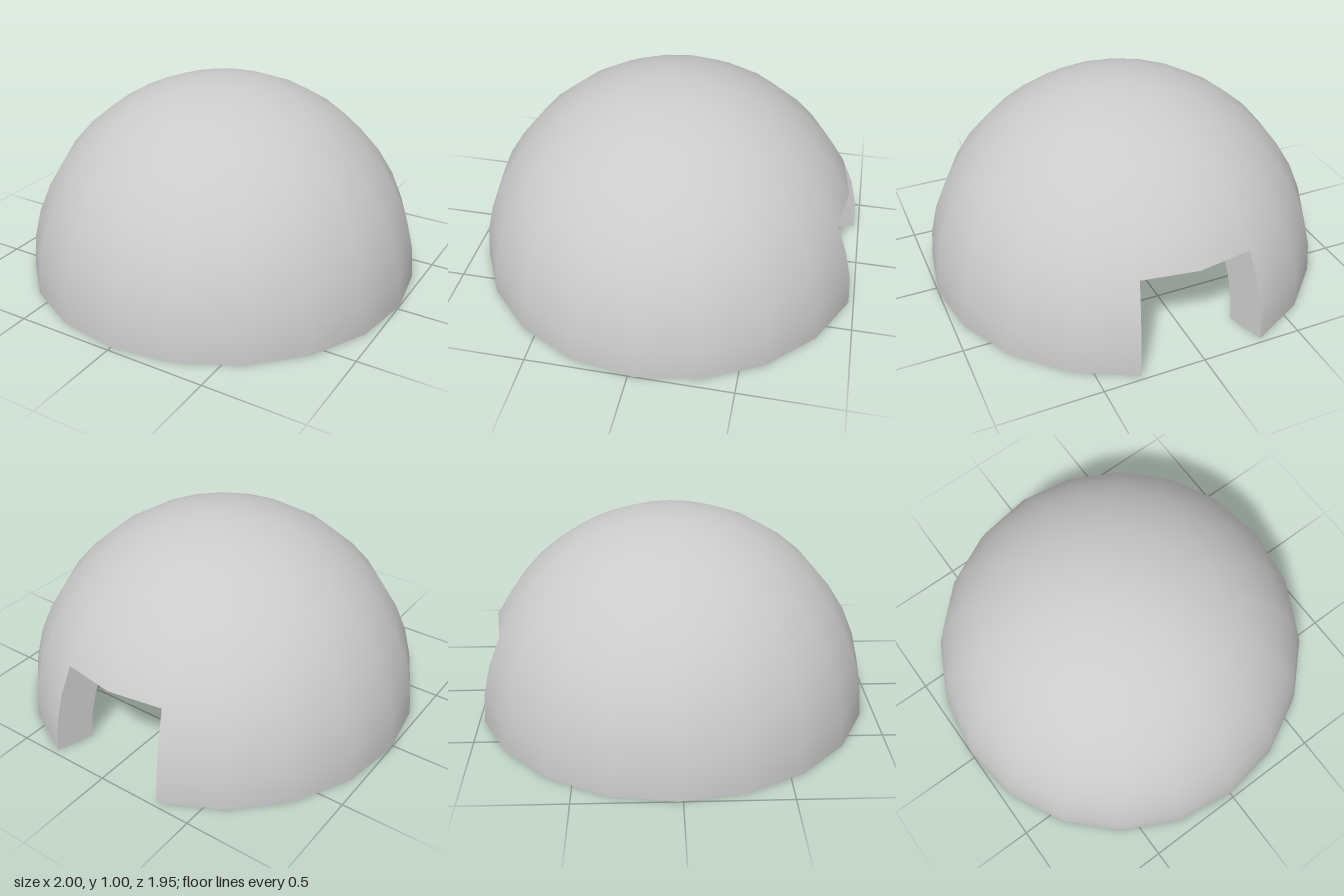
import * as THREE from 'three';

const R = 1, INNER = 0.81;          // outer and inner radius of the shell
const STEP = Math.PI / 10;          // one of 20 sides
const RING = Math.PI / 20;          // one of 10 rings up the dome
const BACK = Math.PI * 1.5;         // doorway direction (-z)
const DOOR_TOP = 3 * RING;          // doorway spans 3 rings and 2 sides

// Turn a surface inside out
function flip(geo) {
  const idx = geo.index.array;
  for (let i = 0; i < idx.length; i += 3) [idx[i], idx[i + 1]] = [idx[i + 1], idx[i]];
  const n = geo.attributes.normal;
  for (let i = 0; i < n.count; i++) n.setXYZ(i, -n.getX(i), -n.getY(i), -n.getZ(i));
  return geo;
}

export function createModel() {
  const group = new THREE.Group();
  group.name = 'domeShelter';
  const mat = new THREE.MeshStandardMaterial({ color: 0xcccccc });
  const add = (name, geo) => {
    const mesh = new THREE.Mesh(geo, mat);
    mesh.name = name;
    mesh.position.z = -0.025;
    group.add(mesh);
  };

  // Closed cap above the doorway and open band beside it, outside and inside
  const cap = (r) => new THREE.SphereGeometry(r, 20, 7, BACK, Math.PI * 2, 0, 7 * RING);
  const band = (r) => new THREE.SphereGeometry(r, 18, 3, BACK + STEP, 18 * STEP, 7 * RING, DOOR_TOP);
  add('outerCap', cap(R));
  add('outerBand', band(R));
  add('innerCap', flip(cap(INNER)));
  add('innerBand', flip(band(INNER)));

  // Flat underside of the wall
  add('bottomRim', new THREE.RingGeometry(INNER, R, 18, 1, BACK + STEP, 18 * STEP).rotateX(Math.PI / 2));

  // Doorway sides
  const jamb = () => new THREE.RingGeometry(INNER, R, 3, 1, 0, DOOR_TOP);
  add('leftJamb', flip(jamb().rotateY(Math.PI / 2 - STEP)));
  add('rightJamb', jamb().rotateY(Math.PI / 2 + STEP));

  // Doorway ceiling, sloping along the dome's radius
  const c = Math.cos(DOOR_TOP), s = Math.sin(DOOR_TOP);
  add('doorLintel', new THREE.CylinderGeometry(R * c, INNER * c, (R - INNER) * s, 2, 1, true, Math.PI - STEP, 2 * STEP)
    .translate(0, (R + INNER) / 2 * s, 0));

  return group;
}
